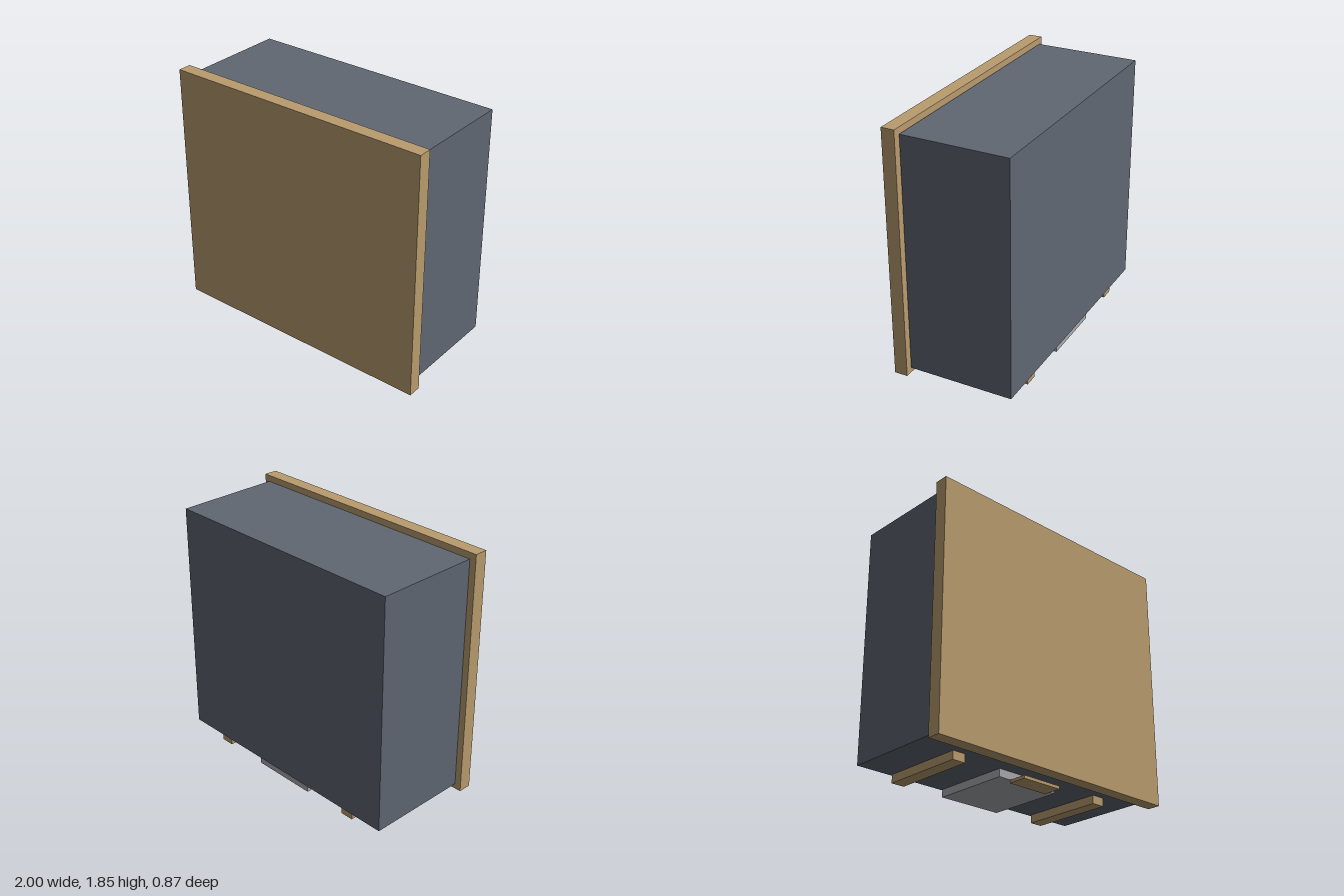
import * as THREE from 'three';

export function createModel() {
  const root = new THREE.Group();
  root.name = 'drawerUnit';

  const material = (name, color) => {
    const m = new THREE.MeshStandardMaterial({ color });
    m.name = name;
    return m;
  };
  const wood = material('wood', 0xb99c6e);
  const slate = material('slateCase', 0x5f6772);
  const metal = material('greyMetal', 0xa8aaad);

  // Axis-aligned box given by its limits on each axis
  const block = (name, mat, [x0, x1], [y0, y1], [z0, z1]) => {
    const mesh = new THREE.Mesh(new THREE.BoxGeometry(x1 - x0, y1 - y0, z1 - z0), mat);
    mesh.name = name;
    mesh.position.set((x0 + x1) / 2, (y0 + y1) / 2, (z0 + z1) / 2);
    root.add(mesh);
  };

  // Case and the larger panel standing just in front of it
  block('caseBody', slate, [-0.955, 0.955], [0.08, 1.81], [-0.437, 0.334]);
  block('frontPanel', wood, [-1, 1], [0.037, 1.853], [0.34, 0.437]);

  // Pair of runners under the case
  for (const [name, x] of [['leftRunner', 0.635], ['rightRunner', -0.635]]) {
    block(name, wood, [x - 0.05, x + 0.05], [0.02, 0.08], [-0.42, 0.198]);
  }

  // Central plate and the low pad in front of it
  block('basePlate', metal, [-0.25, 0.25], [0.024, 0.08], [-0.424, 0.153]);
  block('pullPad', wood, [-0.16, 0.16], [0, 0.022], [0.153, 0.29]);

  return root;
}
